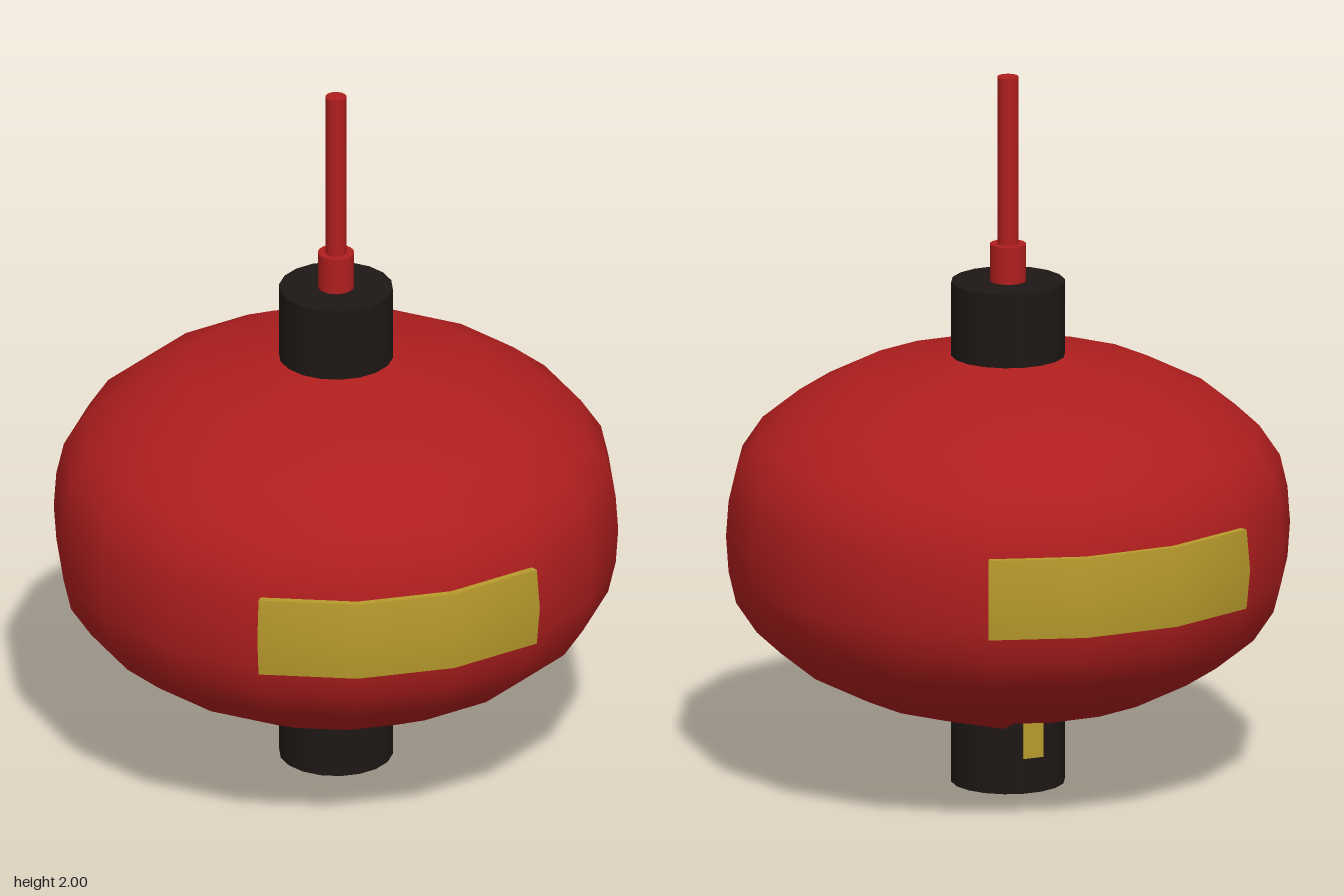
import * as THREE from 'three';

const SIDES = 18;
const START = Math.PI / 2;
const MID = 0.714; // height of the widest ring

export function createModel() {
  const group = new THREE.Group();
  const red = new THREE.MeshStandardMaterial({ color: 0xb01e1e, side: THREE.DoubleSide });
  const black = new THREE.MeshStandardMaterial({ color: 0x1e1815 });
  const gold = new THREE.MeshStandardMaterial({ color: 0xb89a2c, side: THREE.DoubleSide });

  const add = (name, geometry, material, parent = group) => {
    const mesh = new THREE.Mesh(geometry, material);
    mesh.name = name;
    parent.add(mesh);
    return mesh;
  };
  const post = (name, radius, y0, y1, material) => {
    const geometry = new THREE.CylinderGeometry(radius, radius, y1 - y0, SIDES, 1, false, START);
    add(name, geometry, material).position.y = (y0 + y1) / 2;
  };

  // Lantern body: upper half profile mirrored below the widest ring
  const upper = [
    [0.78, 0], [0.773, 0.1], [0.752, 0.19], [0.695, 0.275],
    [0.59, 0.36], [0.424, 0.445], [0.158, 0.497],
  ];
  const profile = [
    ...upper.slice(1).reverse().map(([r, h]) => new THREE.Vector2(r, MID - h)),
    ...upper.map(([r, h]) => new THREE.Vector2(r, MID + h)),
  ];
  const body = new THREE.LatheGeometry(profile, SIDES, START);

  // Small sag in the lower rim at the back
  const pos = body.attributes.position;
  for (let i = 0; i < pos.count; i++) {
    const x = pos.getX(i), y = pos.getY(i), z = pos.getZ(i);
    if (y < 0.22 && z < -0.13 && x > 0.05) pos.setXYZ(i, x * 1.05, 0.188, z * 1.05);
  }
  add('lanternBody', body, red);

  // End caps, collar and hanging rod
  post('bottomCap', 0.157, 0, 0.22, black);
  post('topCap', 0.157, 1.2, 1.42, black);
  post('rodCollar', 0.05, 1.42, 1.525, red);
  post('hangingRod', 0.029, 1.5, 2, red);

  // Curved bands on front and back, with closed ends
  const section = [
    [0.765, 0.602], [0.79, 0.602], [0.802, MID], [0.79, 0.828], [0.765, 0.828],
  ].map(([r, y]) => new THREE.Vector2(r, y));
  const outer = section.slice(1, 4);
  const arc = Math.PI / 3;
  for (const [name, turn] of [['frontBand', 0], ['backBand', Math.PI]]) {
    const band = new THREE.Group();
    band.name = name;
    band.rotation.y = turn;
    group.add(band);
    const strips = [outer, [section[0], section[1]], [section[3], section[4]]];
    strips.forEach((points, i) => {
      add(['bandFace', 'bandLowerEdge', 'bandUpperEdge'][i],
        new THREE.LatheGeometry(points, 3, -arc / 2, arc), gold, band);
    });
    for (const side of [-1, 1]) {
      const end = add('bandEnd', new THREE.ShapeGeometry(new THREE.Shape(section)), gold, band);
      end.rotation.y = -Math.PI / 2 + side * arc / 2;
    }
  }

  // Small tab at the back of the bottom cap
  add('backTab', new THREE.BoxGeometry(0.06, 0.1, 0.02), gold).position.set(0, 0.15, -0.15);

  return group;
}
